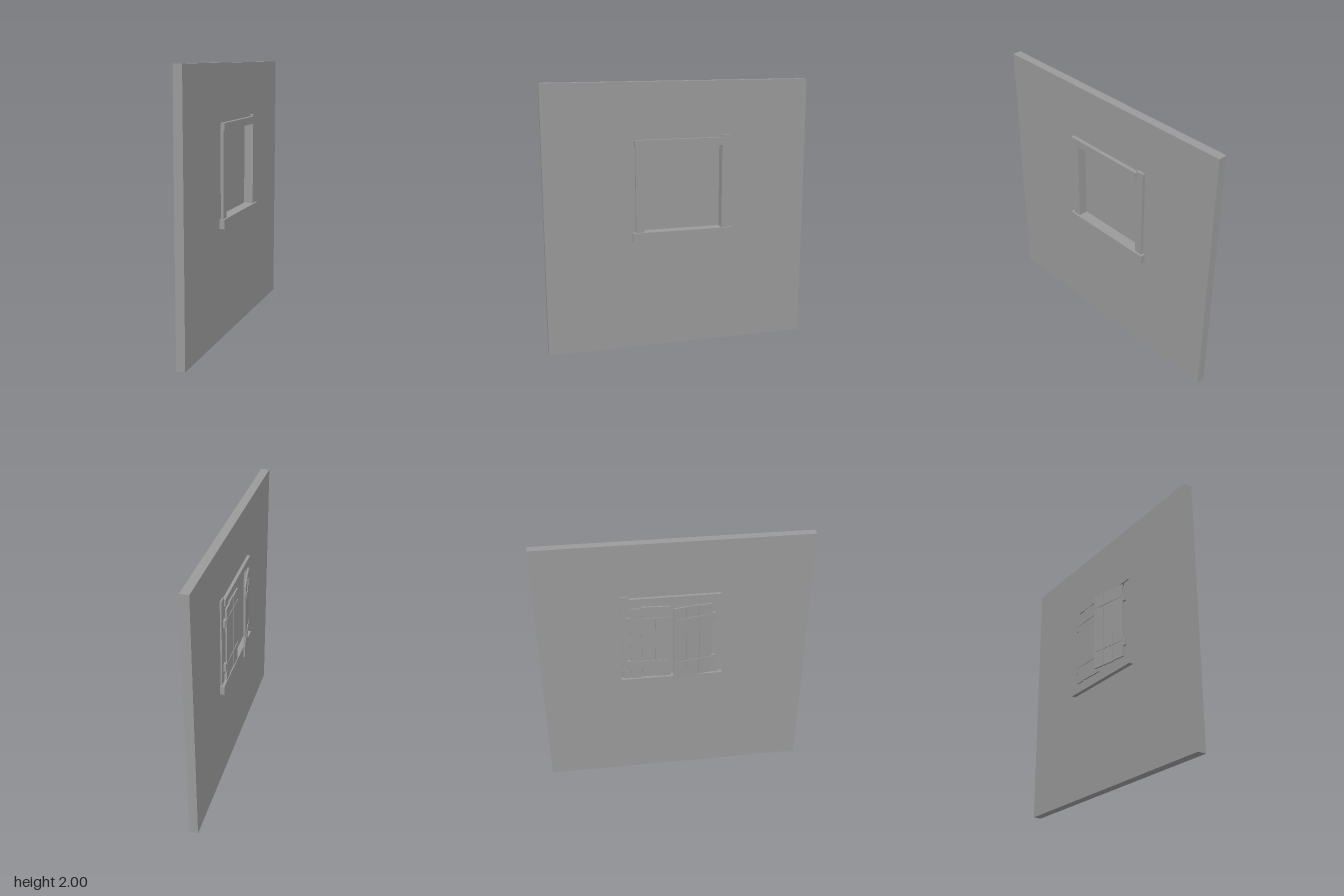
import * as THREE from 'three';

const stone = new THREE.MeshStandardMaterial({ color: 0x999999 });
stone.name = 'plain grey';

// Box given by its limits on each axis
function block(name, [x0, x1], [y0, y1], [z0, z1]) {
  const mesh = new THREE.Mesh(new THREE.BoxGeometry(x1 - x0, y1 - y0, z1 - z0), stone);
  mesh.position.set((x0 + x1) / 2, (y0 + y1) / 2, (z0 + z1) / 2);
  mesh.name = name;
  return mesh;
}

// Wall slab with a rectangular window opening
function makeWall() {
  const rect = (Kind, a0, a1, b0, b1) => new Kind([
    new THREE.Vector2(a0, b0), new THREE.Vector2(a1, b0),
    new THREE.Vector2(a1, b1), new THREE.Vector2(a0, b1),
  ]);
  const shape = rect(THREE.Shape, -1, 1, 0, 2);
  shape.holes.push(rect(THREE.Path, -0.27, 0.33, 0.88, 1.54)); // shape x runs along -z
  const geometry = new THREE.ExtrudeGeometry(shape, { depth: 0.065, bevelEnabled: false });
  geometry.rotateY(Math.PI / 2).translate(-0.012, 0, 0);
  const wall = new THREE.Mesh(geometry, stone);
  wall.name = 'wall';
  return wall;
}

// Plank shutter: hinge at z = 0, planks running along dir * z
function makeShutter(name, dir, planks) {
  const shutter = new THREE.Group();
  shutter.name = name;
  const span = (a, b) => (dir > 0 ? [a, b] : [-b, -a]);
  planks.forEach(([a, b, bottom, top, out], i) =>
    shutter.add(block(`plank${i + 1}`, [-0.006 - out, 0.006 - out], [bottom, top], span(a, b))));
  for (const y of [1.05, 1.42]) {
    shutter.add(block('strap', [-0.011, -0.004], [y - 0.009, y + 0.009], span(0, 0.285)));
    shutter.add(block('hinge', [-0.007, 0.018], [y - 0.05, y + 0.012], span(-0.025, 0.006)));
  }
  return shutter;
}

export function createModel() {
  const model = new THREE.Group();
  model.name = 'windowWall';
  model.add(makeWall());

  // Frame timbers and the pane closing the opening
  model.add(
    block('sill', [-0.045, 0.09], [0.83, 0.9], [-0.41, 0.355]),
    block('lintel', [-0.035, 0.083], [1.53, 1.585], [-0.33, 0.335]),
    block('tallPost', [-0.024, 0.075], [0.9, 1.6], [-0.39, -0.33]),
    block('shortPost', [-0.024, 0.075], [0.9, 1.53], [0.27, 0.33]),
    block('pane', [-0.004, 0.004], [0.9, 1.53], [-0.33, 0.27]),
  );

  // Closed shutter on one side, ajar shutter on the other
  const closed = makeShutter('closedShutter', 1, [
    [0, 0.08, 0.91, 1.51, 0.002],
    [0.083, 0.18, 0.915, 1.52, 0],
    [0.183, 0.29, 0.91, 1.515, 0.001],
  ]);
  closed.position.set(-0.036, 0, -0.33);

  const ajar = makeShutter('ajarShutter', -1, [
    [0, 0.1, 0.915, 1.515, 0.001],
    [0.103, 0.2, 0.91, 1.52, 0],
    [0.203, 0.297, 0.91, 1.52, 0.001],
  ]);
  ajar.position.set(-0.036, 0, 0.272);
  ajar.rotation.y = 0.18;

  model.add(closed, ajar);
  return model;
}
